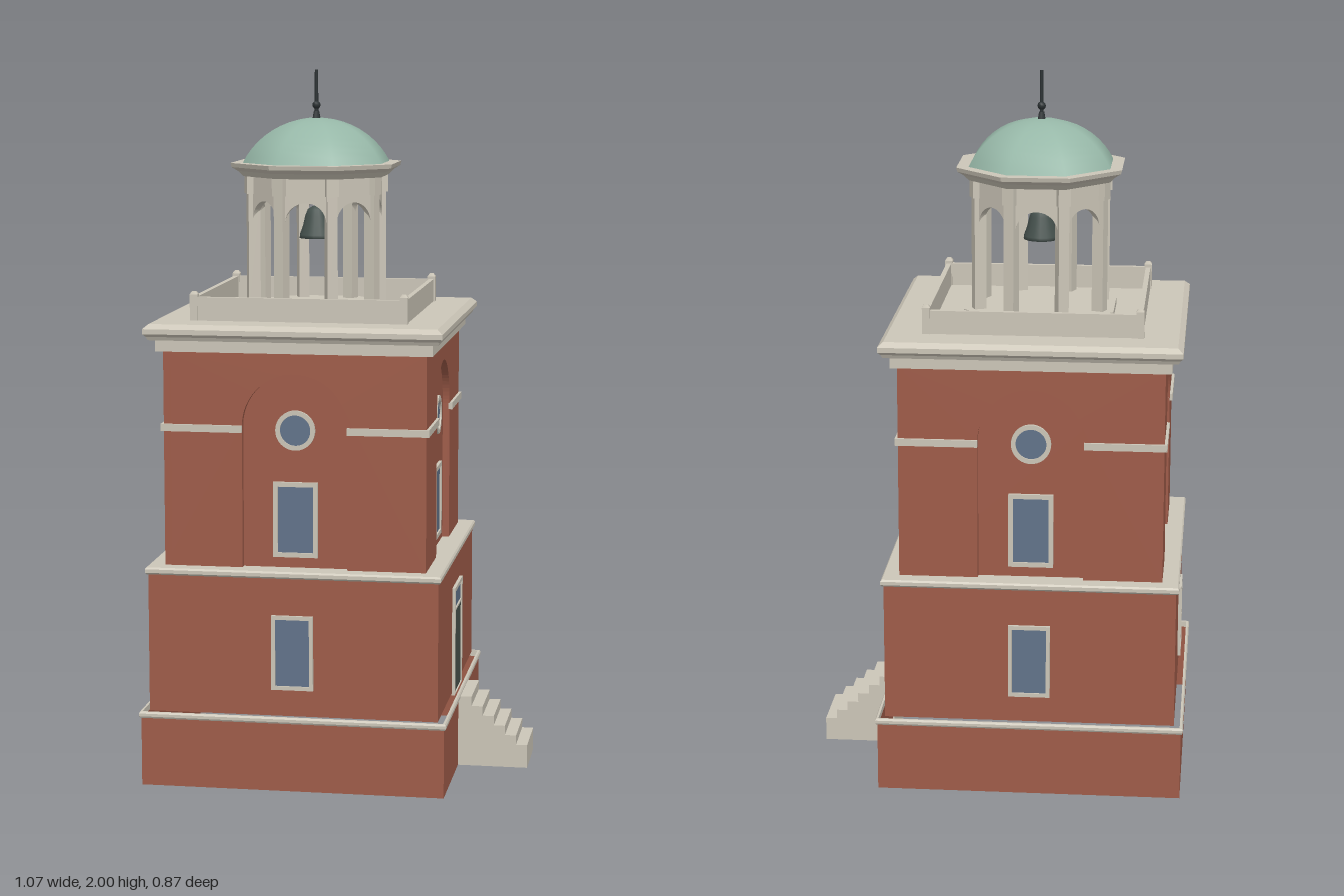
import * as THREE from 'three';

const mat = (name, color, extra = {}) =>
  Object.assign(new THREE.MeshStandardMaterial({ color, ...extra }), { name });

export function createModel() {
  const brick = mat('brick', 0x9f5c49, { side: THREE.DoubleSide });
  const stone = mat('stone', 0xccc6b8);
  const copper = mat('copper', 0x97b8a8);
  const glass = mat('glass', 0x62738a);
  const door = mat('door', 0x48524c);
  const bronze = mat('bronze', 0x46524e);
  const iron = mat('iron', 0x2c3234);

  const tower = new THREE.Group();
  tower.name = 'tower';
  tower.position.x = -0.1;

  const add = (name, geo, material, parent = tower, x = 0, y = 0, z = 0) => {
    const m = new THREE.Mesh(geo, material);
    m.name = name;
    m.position.set(x, y, z);
    parent.add(m);
    return m;
  };
  const box = (name, w, h, d, material, parent, x, y, z) =>
    add(name, new THREE.BoxGeometry(w, h, d), material, parent, x, y, z);

  // Prism with n sides turned from [half width, y] points, flat faces on the axes
  const prism = (pts, n, flat = true) => {
    const k = 1 / Math.cos(Math.PI / n);
    const g = new THREE.LatheGeometry(pts.map(([r, y]) => new THREE.Vector2(r * k, y)), n, Math.PI / n);
    if (!flat) return g;
    const f = g.toNonIndexed();
    f.computeVertexNormals();
    return f;
  };
  const rect = (P, x, y0, y1) =>
    new P().moveTo(-x, y0).lineTo(x, y0).lineTo(x, y1).lineTo(-x, y1).closePath();
  const arch = (x, y0, spring) =>
    new THREE.Path().moveTo(-x, y0).lineTo(x, y0).lineTo(x, spring)
      .absarc(0, spring, x, 0, Math.PI, false).closePath();
  const plate = (shape, hole, depth) => {
    if (hole) shape.holes.push(hole);
    return new THREE.ExtrudeGeometry(shape, { depth, bevelEnabled: false, curveSegments: 20 });
  };

  // Hollow lower storeys
  add('baseWalls', prism([[0.43, 0], [0.43, 0.2]], 4), brick);
  add('baseLedge', prism([[0.427, 0.195], [0.433, 0.195], [0.436, 0.2], [0.436, 0.208],
    [0.433, 0.213], [0.427, 0.213], [0.427, 0.195]], 4), stone);
  add('lowerWalls', prism([[0.41, 0.212], [0.41, 0.61]], 4), brick);
  add('middleLedge', prism([[0, 0.605], [0.414, 0.605], [0.418, 0.61], [0.418, 0.62],
    [0.414, 0.625], [0, 0.625]], 4), stone);

  // Upper storey core, set behind the arched recesses
  box('upperCore', 0.7, 0.61, 0.7, brick, tower, 0, 0.93, 0);

  // Roof cornice
  add('lowerCornice', prism([[0, 1.232], [0.388, 1.232], [0.388, 1.27], [0, 1.27]], 4), stone);
  add('upperCornice', prism([[0, 1.265], [0.405, 1.265], [0.41, 1.275], [0.418, 1.283],
    [0.418, 1.297], [0.403, 1.31], [0, 1.31]], 4), stone);

  const frameAndGlass = (side, name, x, y0, y1, z, t = 0.011) => {
    add(name + 'Frame', plate(rect(THREE.Shape, x, y0, y1), rect(THREE.Path, x - t, y0 + t, y1 - t), 0.009),
      stone, side, 0, 0, z);
    box(name + 'Glass', 2 * (x - t), y1 - y0 - 2 * t, 0.004, glass, side, 0, (y0 + y1) / 2, z + 0.002);
  };

  // Four sides; number 1 faces +x and has the door
  for (let k = 0; k < 4; k++) {
    const side = new THREE.Group();
    side.name = 'side' + k;
    side.rotation.y = k * Math.PI / 2;
    tower.add(side);

    add('archedWall', plate(rect(THREE.Shape, 0.37, 0.624, 1.235), arch(0.148, 0.6245, 1.025), 0.02),
      brick, side, 0, 0, 0.35);
    frameAndGlass(side, 'upperWindow', 0.063, 0.655, 0.868, 0.35, 0.013);

    const ring = new THREE.Shape().absarc(0, 0, 0.056, 0, Math.PI * 2);
    add('roundFrame', plate(ring, new THREE.Path().absarc(0, 0, 0.043, 0, Math.PI * 2), 0.009),
      stone, side, 0, 1.014, 0.35);
    add('roundGlass', new THREE.CircleGeometry(0.044, 28), glass, side, 0, 1.014, 0.354);

    for (const s of [-1, 1])
      box('stringCourse', 0.228, 0.02, 0.012, stone, side, s * 0.262, 1.017, 0.372);

    if (k === 1) {
      const f = rect(THREE.Shape, 0.09, 0.205, 0.522);
      add('doorFrame', plate(f, rect(THREE.Path, 0.077, 0.206, 0.51), 0.009), stone, side, 0, 0, 0.41);
      box('door', 0.154, 0.248, 0.005, door, side, 0, 0.33, 0.4125);
      box('transomBar', 0.154, 0.006, 0.008, stone, side, 0, 0.455, 0.414);
      box('transomGlass', 0.154, 0.054, 0.004, glass, side, 0, 0.484, 0.412);
    } else {
      frameAndGlass(side, 'lowerWindow', 0.059, 0.288, 0.5, 0.41);
    }

    // Parapet wall and corner post
    box('parapet', 0.59, 0.068, 0.014, stone, side, 0, 1.342, 0.296);
    box('parapetPost', 0.022, 0.076, 0.022, stone, side, 0.296, 1.346, 0.296);
    add('postCap', new THREE.CylinderGeometry(0.008, 0.0156, 0.008, 4).rotateY(Math.PI / 4),
      stone, side, 0.296, 1.388, 0.296);
  }

  // Door steps, as one stepped profile
  const steps = new THREE.Shape().moveTo(0.425, 0).lineTo(0.425, 0.205);
  for (let i = 0; i < 6; i++) {
    const y = 0.205 - i * 0.0275, x = 0.436 + (i + 1) * 0.0325;
    steps.lineTo(x, y).lineTo(x, i < 5 ? y - 0.0275 : 0);
  }
  steps.closePath();
  add('steps', plate(steps, null, 0.19), stone, tower, 0, 0, -0.095);

  // Octagonal lantern
  add('lanternPlinth', prism([[0, 1.305], [0.212, 1.305], [0.212, 1.33], [0, 1.33]], 8), stone);
  for (let i = 0; i < 8; i++) {
    const bay = new THREE.Group();
    bay.name = 'lanternBay' + i;
    bay.rotation.y = i * Math.PI / 4;
    tower.add(bay);
    add('lanternArch', plate(rect(THREE.Shape, 0.075, 1.325, 1.715), arch(0.059, 1.326, 1.573), 0.02),
      stone, bay, 0, 0, 0.161);
    const corner = new THREE.Group();
    corner.rotation.y = Math.PI / 8;
    corner.name = 'lanternCorner';
    bay.add(corner);
    box('lanternPier', 0.03, 0.33, 0.034, stone, corner, 0, 1.49, 0.185);
    box('pierHead', 0.036, 0.065, 0.04, stone, corner, 0, 1.683, 0.187);
  }
  add('lanternCornice', prism([[0, 1.7], [0.198, 1.7], [0.212, 1.715], [0.229, 1.726],
    [0.232, 1.738], [0, 1.738]], 8), stone);

  // Dome as a spherical cap on eight sides
  const cap = [];
  for (let i = 0; i <= 10; i++) {
    const a = 1.145 * (1 - i / 10);
    cap.push([0.22 * Math.sin(a), 1.644 + 0.22 * Math.cos(a)]);
  }
  add('dome', prism(cap, 8, false), copper);

  // Finial
  add('finialFoot', new THREE.CylinderGeometry(0.008, 0.014, 0.03, 6), iron, tower, 0, 1.868, 0);
  add('finialRod', new THREE.CylinderGeometry(0.005, 0.006, 0.145, 6), iron, tower, 0, 1.9275, 0);
  add('finialKnob', new THREE.SphereGeometry(0.012, 8, 6), iron, tower, 0, 1.9, 0);

  // Bell
  const bell = [[0, 1.522], [0.044, 1.522], [0.05, 1.52], [0.049, 1.53], [0.04, 1.555],
    [0.033, 1.585], [0.026, 1.602], [0.012, 1.611], [0, 1.612]];
  add('bell', new THREE.LatheGeometry(bell.map(p => new THREE.Vector2(...p)), 16), bronze);
  add('bellHanger', new THREE.CylinderGeometry(0.007, 0.007, 0.1, 6), iron, tower, 0, 1.655, 0);

  const model = new THREE.Group();
  model.name = 'bellTower';
  model.add(tower);
  return model;
}
